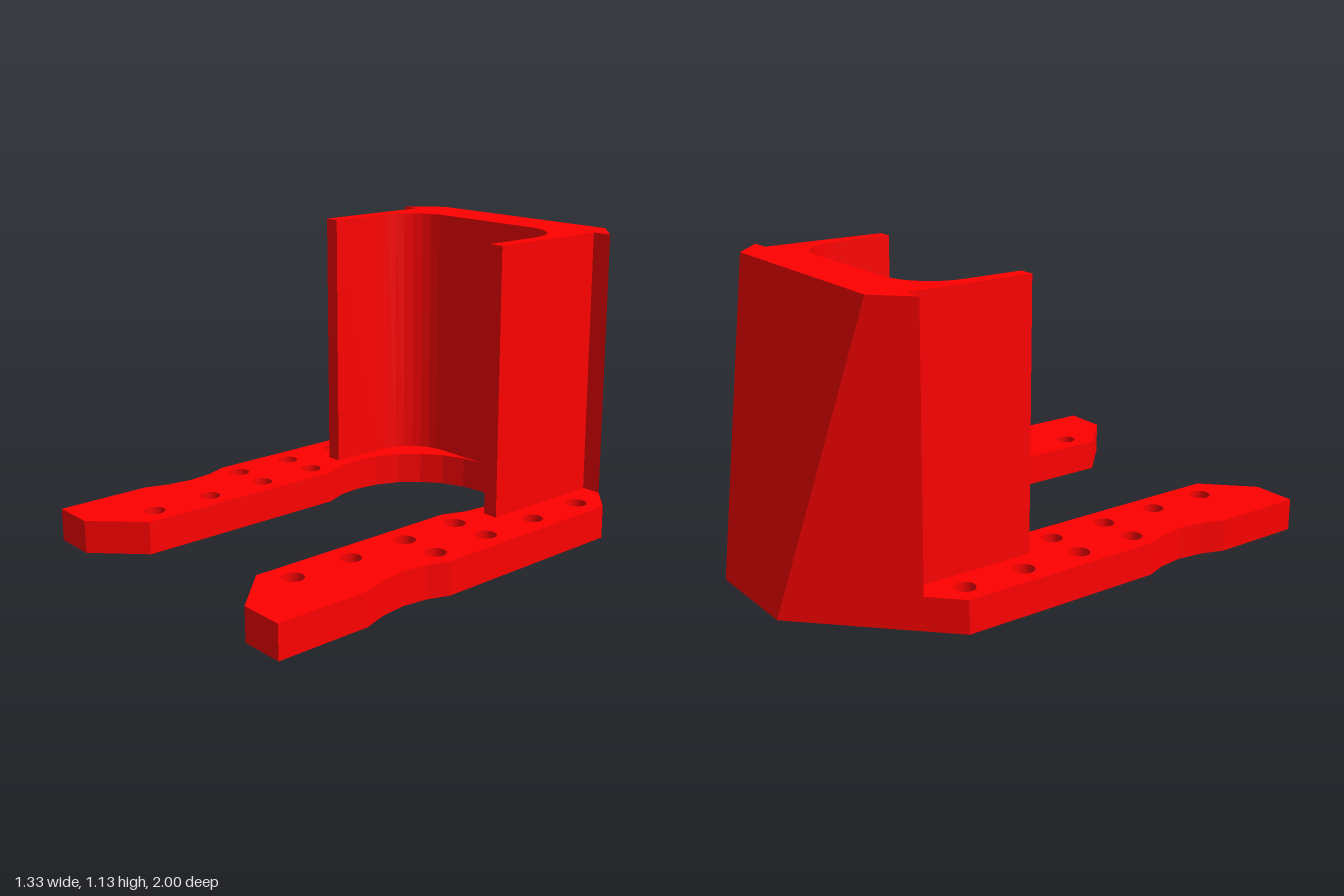
import * as THREE from 'three';

const PLATE = 0.125, TOP = 1.13, SLOPE = 0.208;
const HOLE_R = 0.04, SINK_R = 0.065;

// Closed symmetric outline from the points of its +x half, given as [x, z]
function mirroredShape(half) {
  const pts = half.concat(half.filter(([x]) => x > 0.001).reverse().map(([x, z]) => [-x, z]));
  return new THREE.Shape(pts.map(([x, z]) => new THREE.Vector2(x, -z)));
}

// Points on an arc in the x-z plane, from angle a to angle b
function arc(cx, cz, r, a, b, n) {
  return Array.from({ length: n + 1 }, (_, i) => {
    const t = a + (b - a) * i / n;
    return [cx + r * Math.cos(t), cz + r * Math.sin(t)];
  });
}

// Lean the back edge forward along the side chamfers
function leanBack(g) {
  const p = g.attributes.position;
  for (let i = 0; i < p.count; i++) {
    const x = p.getX(i), z = p.getZ(i), d = SLOPE * p.getY(i);
    if (z < -0.99) p.setXYZ(i, x + Math.sign(x) * d, p.getY(i), z + d);
  }
  g.computeVertexNormals();
  return g;
}

// Flat face of a shape with round holes, facing up (dir 1) or down (dir -1)
function face(outline, holes, radius, y, dir) {
  const shape = outline.clone();
  shape.holes = holes.map(([x, z]) => new THREE.Path().absarc(x, -z, radius, 0, Math.PI * 2));
  const g = new THREE.ShapeGeometry(shape, 12).rotateX(-Math.PI / 2).translate(0, y, 0);
  if (dir < 0) g.index.array.reverse();
  return leanBack(g);
}

// Outer wall around an outline, from y = 0 to the given height
function wall(outline, height) {
  const pts = outline.getPoints(), pos = [];
  pts.forEach((a, i) => {
    const b = pts[(i + 1) % pts.length];
    const a0 = [a.x, 0, -a.y], a1 = [a.x, height, -a.y];
    const b0 = [b.x, 0, -b.y], b1 = [b.x, height, -b.y];
    pos.push(...a0, ...a1, ...b0, ...b0, ...a1, ...b1);
  });
  const g = new THREE.BufferGeometry();
  g.setAttribute('position', new THREE.Float32BufferAttribute(pos, 3));
  return leanBack(g);
}

export function createModel() {
  const model = new THREE.Group();
  model.name = 'mountingBracket';
  const material = new THREE.MeshStandardMaterial({ color: 0xff0000, flatShading: true });
  const add = (parent, name, geometry) => {
    const mesh = new THREE.Mesh(geometry, material);
    mesh.name = name;
    parent.add(mesh);
    return mesh;
  };

  // U-shaped base plate with side notches and a round opening
  const outline = mirroredShape([
    [0.2, -1], [0.665, -0.535], [0.665, 0.27],
    [0.635, 0.35], [0.622, 0.45], [0.635, 0.55], [0.665, 0.64],
    [0.665, 1], [0.495, 1], [0.325, 0.83],
    ...arc(0, -0.2, 0.37, 0.498, -Math.PI / 2, 8),
  ]);
  const holes = [];
  for (const side of [-1, 1]) {
    for (const z of [-0.49, -0.242, 0.004, 0.252]) holes.push([side * 0.573, z]);
    for (const z of [0.004, 0.252, 0.502, 0.75]) holes.push([side * 0.418, z]);
  }
  const plate = new THREE.Group();
  plate.name = 'basePlate';
  model.add(plate);
  add(plate, 'plateTop', face(outline, holes, HOLE_R, PLATE, 1));
  add(plate, 'plateUnderside', face(outline, holes, SINK_R, 0, -1));
  add(plate, 'plateEdge', wall(outline, PLATE));

  // Screw holes, countersunk from below; the profile runs downward so the walls face inward
  const bore = new THREE.LatheGeometry([
    new THREE.Vector2(HOLE_R, PLATE),
    new THREE.Vector2(HOLE_R, PLATE / 2),
    new THREE.Vector2(SINK_R, 0),
  ], 24);
  for (const [x, z] of holes) add(plate, 'screwHole', bore).position.set(x, 0, z);

  // Upright holder: sloped back, chamfered shoulders, thin side walls, rounded pocket
  const holder = mirroredShape([
    [0.2, -1], [0.557, -0.643], [0.48, -0.643], [0.48, -0.147], [0.42, -0.147],
    ...arc(0.23, -0.38, 0.19, 0, -Math.PI / 2, 8),
  ]);
  const upright = new THREE.ExtrudeGeometry(holder, { depth: TOP - PLATE, bevelEnabled: false });
  add(model, 'uprightHolder', leanBack(upright.rotateX(-Math.PI / 2).translate(0, PLATE, 0)));

  return model;
}
